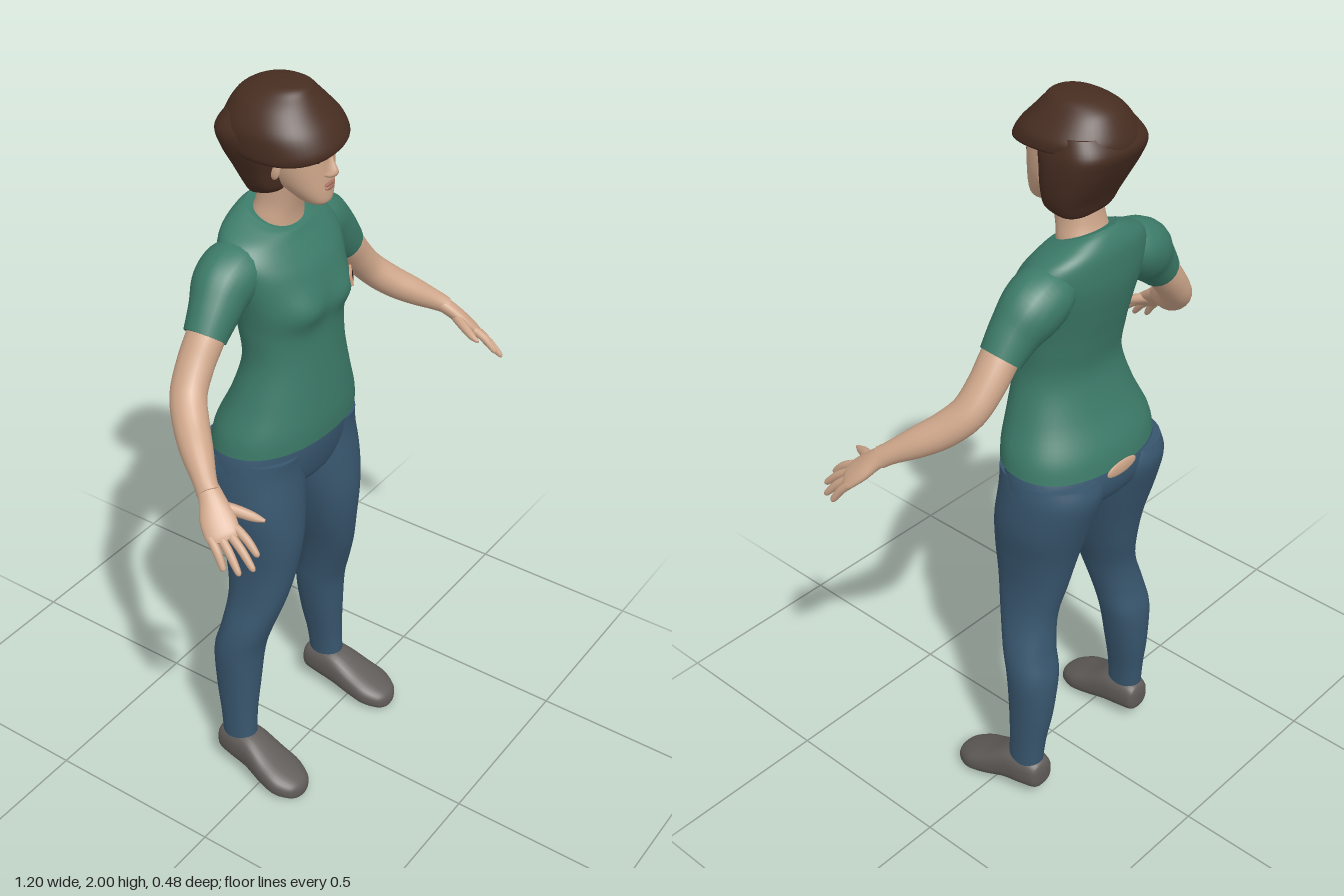
import * as THREE from 'three';

const V = (x, y, z) => new THREE.Vector3(x, y, z);
const mat = (name, color) => Object.assign(new THREE.MeshStandardMaterial({ color }), { name });

// Smooth in-between rows for a short table of cross-sections of equal length
function spline(rows, k = 5) {
  const out = [];
  const at = i => rows[Math.min(Math.max(i, 0), rows.length - 1)];
  for (let i = 0; i < rows.length - 1; i++) {
    for (let j = 0; j < k; j++) {
      const t = j / k;
      out.push(at(i).map((p1, c) => {
        const p0 = at(i - 1)[c], p2 = at(i + 1)[c], p3 = at(i + 2)[c];
        return p1 + 0.5 * t * (p2 - p0 + t * (2 * p0 - 5 * p1 + 4 * p2 - p3 + t * (3 * (p1 - p2) + p3 - p0)));
      }));
    }
  }
  out.push([...rows[rows.length - 1]]);
  return out;
}

// Closed skin over rings of points; turned outward by its signed volume
function loft(rings) {
  const n = rings[0].length, pts = rings.flat(), idx = [];
  for (let i = 0; i < rings.length - 1; i++) {
    for (let j = 0; j < n; j++) {
      const a = i * n + j, b = i * n + (j + 1) % n;
      idx.push(a, b, a + n, b, b + n, a + n);
    }
  }
  [0, rings.length - 1].forEach((r, end) => {
    const edge = rings[r].map(p => p.clone());
    const start = pts.length;
    const mid = edge.reduce((s, p) => s.add(p), V(0, 0, 0)).divideScalar(n);
    pts.push(...edge, mid);
    for (let j = 0; j < n; j++) {
      const a = start + j, b = start + (j + 1) % n;
      idx.push(...(end ? [a, b, start + n] : [b, a, start + n]));
    }
  });
  let volume = 0;
  for (let i = 0; i < idx.length; i += 3) {
    volume += pts[idx[i]].dot(V(0, 0, 0).crossVectors(pts[idx[i + 1]], pts[idx[i + 2]]));
  }
  if (volume < 0) idx.reverse();
  const g = new THREE.BufferGeometry().setFromPoints(pts);
  g.setIndex(idx);
  g.computeVertexNormals();
  return g;
}

const pow = (v, n) => Math.sign(v) * Math.abs(v) ** (2 / n);
const ringOf = (segs, f) => Array.from({ length: segs }, (_, j) => {
  const a = j / segs * Math.PI * 2;
  return f(Math.cos(a), Math.sin(a));
});

// Upright form, rows: [y, xMin, xMax, zFront, zBack, tilt along z, tilt along x]
function upright(rows, { n = 2.2, segs = 36, side = 1, bend } = {}) {
  const full = rows.map(([y, x0, x1, zf, zb, tz = 0, tx = 0]) => [y, x0, x1, zf, zb, tz, tx]);
  return loft(spline(full).map(([y, x0, x1, zf, zb, tz, tx]) => ringOf(segs, (c, s) => {
    const dx = pow(c, n) * (x1 - x0) / 2, dz = pow(s, n) * (zf - zb) / 2;
    const p = V(side * ((x0 + x1) / 2 + dx), y + tz * dz + tx * dx, (zf + zb) / 2 + dz);
    if (bend) bend(p);
    return p;
  })));
}

// Limb along a path, rows: [x, y, z, radius along ref, radius across]
function limb(rows, side, ref = [0, 0, 1], segs = 20) {
  const r = spline(rows), P = r.map(q => V(q[0] * side, q[1], q[2]));
  const R = V(ref[0] * side, ref[1], ref[2]);
  return loft(r.map((q, i) => {
    const t = P[Math.min(i + 1, P.length - 1)].clone().sub(P[Math.max(i - 1, 0)]).normalize();
    const u = R.clone().addScaledVector(t, -R.dot(t)).normalize();
    const w = V(0, 0, 0).crossVectors(t, u);
    return ringOf(segs, (c, s) => P[i].clone().addScaledVector(u, c * q[3]).addScaledVector(w, s * q[4]));
  }));
}

export function createModel() {
  const M = {
    skin: mat('skin', 0xcfa78b), shirt: mat('shirt green', 0x3c7a68), pants: mat('trouser blue', 0x38566e),
    shoe: mat('shoe grey', 0x5f5b58), hair: mat('hair brown', 0x472d21), lips: mat('lips', 0xa87062),
    dark: mat('dark detail', 0x2a1d18), white: mat('eye white', 0xd8cfc6), patch: mat('patch tan', 0xdba283),
  };
  const model = new THREE.Group();
  model.name = 'standingWoman';
  const add = (name, geo, m, parent = model) => {
    const mesh = new THREE.Mesh(geo, m);
    mesh.name = name;
    parent.add(mesh);
    return mesh;
  };
  const ball = (w, h, d) => new THREE.SphereGeometry(1, 20, 12).scale(w, h, d);

  // Shirt body with a soft bust and a dipped neckline
  const shirt = add('shirt', upright([
    [1.07, -.228, .228, .062, -.233, .07], [1.12, -.218, .218, .064, -.222, .05],
    [1.2, -.185, .185, .06, -.183], [1.3, -.156, .156, .052, -.156],
    [1.39, -.158, .158, .048, -.168], [1.46, -.168, .168, .054, -.184],
    [1.54, -.185, .185, .034, -.2], [1.59, -.19, .19, .008, -.203, -.05],
    [1.63, -.165, .165, -.015, -.2, -.15], [1.655, -.11, .11, -.025, -.185, -.28],
    [1.663, -.078, .078, -.03, -.17, -.38],
  ], {
    segs: 56,
    bend: p => {
      if (p.z > -.04) p.z += .018 * Math.exp(-((Math.abs(p.x) - .08) ** 2) / .003 - (p.y - 1.455) ** 2 / .0022);
    },
  }), M.shirt);

  // Trousers: hips here, legs in the mirrored loop
  add('trouserHips', upright([
    [1.095, -.212, .212, .045, -.215], [1.04, -.23, .23, .045, -.234], [.98, -.225, .225, .035, -.225],
    [.94, -.15, .15, .02, -.19], [.905, -.05, .05, -.02, -.13],
  ]), M.pants);
  const bareBack = add('lowerBack', ball(.055, .02, .006), M.skin);
  bareBack.position.set(0, 1.05, -.231);

  for (const side of [1, -1]) {
    const tag = side > 0 ? 'left' : 'right';
    add(tag + 'TrouserLeg', upright([
      [1.05, .01, .225, .035, -.23], [1, -.003, .235, .034, -.24], [.9, .01, .239, .045, -.212],
      [.8, .034, .224, .05, -.182], [.7, .062, .215, .04, -.16], [.6, .093, .224, .02, -.142],
      [.5, .112, .25, -.012, -.15], [.42, .122, .259, -.033, -.168], [.3, .145, .253, -.04, -.164],
      [.2, .165, .25, -.044, -.15], [.115, .174, .25, -.042, -.142],
    ], { side }), M.pants);

    // Shoe, built from heel to toe: [z, x, half width, bottom, top]
    add(tag + 'Shoe', loft(spline([
      [-.155, .208, .014, .065, .1], [-.145, .208, .038, .045, .128], [-.1, .21, .048, .036, .139],
      [-.045, .212, .053, .027, .135], [.02, .218, .062, .012, .1], [.07, .221, .064, .004, .077],
      [.11, .221, .047, .002, .057], [.126, .22, .027, .005, .044], [.132, .22, .006, .016, .03],
    ]).map(([z, x, w, b, t]) => ringOf(28, (c, s) =>
      V(side * (x + pow(c, 2.6) * w), (b + t) / 2 + pow(s, 2.6) * (t - b) / 2, z)))), M.shoe);

    add(tag + 'Sleeve', limb([
      [.1, 1.575, -.11, .06, .05], [.15, 1.565, -.112, .078, .07], [.2, 1.537, -.112, .075, .078],
      [.245, 1.495, -.104, .062, .066], [.29, 1.445, -.1, .053, .053],
    ], side), M.shirt);
    add(tag + 'Arm', limb([
      [.24, 1.5, -.1, .046, .046], [.29, 1.445, -.098, .048, .046], [.335, 1.39, -.096, .047, .043],
      [.38, 1.335, -.083, .046, .041], [.42, 1.29, -.045, .044, .041], [.46, 1.255, .002, .039, .037],
      [.5, 1.222, .053, .029, .027], [.518, 1.205, .078, .028, .022],
    ], side), M.skin);

    // Hand: palm, four fingers and thumb
    const hand = new THREE.Group();
    hand.name = tag + 'Hand';
    model.add(hand);
    const across = [-.745, .25, .62];
    add('palm', limb([
      [.508, 1.215, .065, .026, .021], [.522, 1.195, .09, .031, .02], [.54, 1.167, .118, .041, .018],
      [.556, 1.14, .146, .041, .014], [.562, 1.13, .157, .034, .008],
    ], side, across), M.skin, hand);
    const tips = [[.535, 1.1, .23], [.56, 1.077, .236], [.583, 1.068, .212], [.594, 1.072, .176]];
    tips.forEach((tip, i) => {
      const off = .031 - i * .0207;
      const base = [.553, 1.143, .145].map((v, c) => v + across[c] * off);
      const at = (f, lift, r) => [...base.map((v, c) => v + (tip[c] - v) * f + (c === 1 ? lift : 0)), r, r];
      add('finger', limb([at(0, 0, .011), at(.5, .006, .0105), at(.9, .001, .008), at(1, 0, .003)],
        side, across, 10), M.skin, hand);
    });
    add('thumb', limb([
      [.522, 1.185, .1, .014, .014], [.5, 1.172, .145, .014, .013],
      [.484, 1.16, .182, .011, .01], [.476, 1.155, .206, .004, .004],
    ], side, across, 10), M.skin, hand);
  }

  // Neck and head
  add('neck', upright([
    [1.58, -.078, .078, -.04, -.17], [1.65, -.07, .07, -.04, -.158], [1.7, -.06, .06, -.03, -.143],
    [1.77, -.06, .06, -.005, -.135],
  ]), M.skin);
  const head = add('head', upright([
    [1.712, -.018, .018, .04, .005], [1.722, -.036, .036, .051, -.025], [1.745, -.054, .054, .053, -.06],
    [1.775, -.069, .069, .052, -.1], [1.815, -.08, .08, .05, -.13], [1.86, -.084, .084, .049, -.15],
    [1.91, -.08, .08, .045, -.15], [1.95, -.05, .05, .01, -.12],
  ]), M.skin);
  add('nose', upright([
    [1.785, -.008, .008, .06, .03], [1.791, -.018, .018, .071, .03], [1.803, -.014, .014, .075, .03],
    [1.825, -.009, .009, .064, .03], [1.85, -.008, .008, .053, .03],
  ], { n: 2, segs: 16 }), M.skin);

  // Thin details laid onto a surface found by a ray from the front
  const lay = (name, target, geo, m, x, y, lift = 0) => {
    const hit = new THREE.Raycaster(V(x, y, 2), V(0, 0, -1)).intersectObject(target)[0];
    const mesh = add(name, geo, m);
    mesh.position.copy(hit.point).addScaledVector(hit.face.normal, lift);
    mesh.lookAt(mesh.position.clone().add(hit.face.normal));
  };
  for (const s of [1, -1]) {
    lay('eye', head, ball(.014, .006, .003), M.white, s * .034, 1.833);
    lay('iris', head, ball(.006, .006, .002), M.dark, s * .034, 1.833, .002);
    lay('upperLid', head, ball(.016, .0025, .004), M.dark, s * .034, 1.839);
    lay('eyebrow', head, ball(.018, .004, .004), M.hair, s * .036, 1.854);
    const ear = add('ear', ball(.009, .028, .017), M.skin);
    ear.position.set(s * .084, 1.81, -.045);
  }
  lay('upperLip', head, ball(.022, .005, .005), M.lips, .0005, 1.767);
  lay('lowerLip', head, ball(.018, .006, .006), M.lips, .0005, 1.758);

  // Hair: crown with a swept fringe, and a bob behind the face
  add('hairCrown', upright([
    [2, -.014, .012, -.06, -.085], [1.993, -.055, .045, -.01, -.13], [1.975, -.085, .068, .01, -.168],
    [1.95, -.112, .092, .033, -.19], [1.915, -.138, .115, .064, -.208, 0, .05],
    [1.885, -.143, .12, .083, -.212, -.02, .12], [1.868, -.14, .118, .086, -.206, -.03, .18],
    [1.86, -.125, .105, .076, -.19, -.03, .2],
  ], { segs: 48 }), M.hair);
  add('hairBob', upright([
    [1.93, -.115, .1, -.03, -.19], [1.89, -.139, .117, -.015, -.214], [1.85, -.135, .121, -.022, -.202],
    [1.8, -.115, .118, -.028, -.178], [1.76, -.1, .11, -.034, -.157], [1.738, -.085, .098, -.038, -.143, .2],
    [1.728, -.065, .075, -.05, -.13, .25],
  ], { n: 2.8, segs: 48 }), M.hair);

  // Plain chest patch
  lay('chestPatch', shirt, new THREE.BoxGeometry(.048, .033, .006), M.patch, .108, 1.472, .002);
  lay('chestPatchCentre', shirt, new THREE.BoxGeometry(.028, .015, .004), M.dark, .108, 1.472, .0045);
  return model;
}
